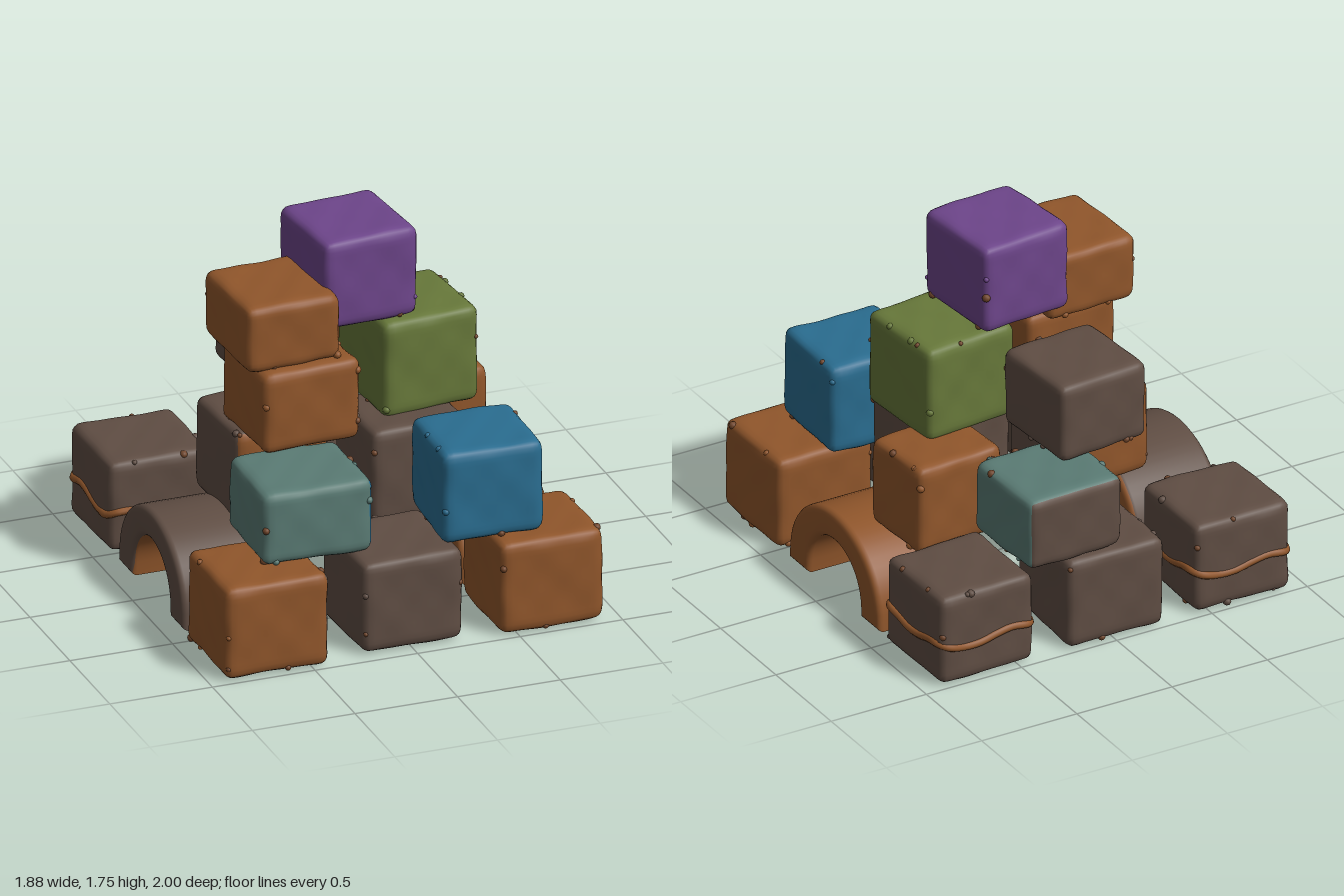
import * as THREE from 'three';
import { mergeVertices, toCreasedNormals } from 'three/addons/utils/BufferGeometryUtils.js';

const mat = (name, color) => Object.assign(new THREE.MeshStandardMaterial({ color }), { name });
const M = {
  orange: mat('burnt orange', 0x90562b),
  brown: mat('dark brown', 0x5f4d43),
  teal: mat('dusty teal', 0x5a7b74),
  blue: mat('blue', 0x2a6d90),
  green: mat('olive green', 0x67783a),
  purple: mat('purple', 0x6d458a),
  rust: mat('rust speck', 0x70452a),
};

let seed = 7;
const rnd = () => (seed = (seed * 16807) % 2147483647) / 2147483647;

// Worn block: a box with rounded edges and gentle dents
function blockGeometry(w, h, d, phase) {
  const geo = new THREE.BoxGeometry(w, h, d, 18, 18, 18);
  geo.deleteAttribute('uv');
  geo.deleteAttribute('normal');
  const merged = mergeVertices(geo, 1e-4);
  const r = 0.045;
  const half = new THREE.Vector3(w / 2 - r, h / 2 - r, d / 2 - r);
  const low = half.clone().negate();
  const p = new THREE.Vector3(), c = new THREE.Vector3();
  const pos = merged.attributes.position;
  for (let i = 0; i < pos.count; i++) {
    p.fromBufferAttribute(pos, i);
    c.copy(p).clamp(low, half);
    const dent = 0.004 * Math.sin(11 * p.x + 7 * p.y + phase) * Math.sin(9 * p.z - 8 * p.y + 2 * phase)
      + 0.002 * Math.sin(31 * p.x + phase) * Math.sin(27 * p.y + 25 * p.z);
    p.sub(c).normalize().multiplyScalar(r + dent).add(c);
    pos.setXYZ(i, p.x, p.y, p.z);
  }
  merged.computeVertexNormals();
  return merged;
}

// Wavy raised cord around a block
function cordGeometry(w, d) {
  const pts = [];
  const a = w / 2 - 0.005, b = d / 2 - 0.005, n = 6;
  const corners = [[-a, -b], [a, -b], [a, b], [-a, b]];
  corners.forEach(([x, z], k) => {
    const [x2, z2] = corners[(k + 1) % 4];
    for (let i = 0; i < n; i++) {
      const t = 0.07 + 0.86 * i / (n - 1);
      pts.push(new THREE.Vector3(x + (x2 - x) * t, -0.035 + 0.018 * Math.sin(t * 7 + k), z + (z2 - z) * t));
    }
  });
  return new THREE.TubeGeometry(new THREE.CatmullRomCurve3(pts, true), 120, 0.019, 8, true);
}

// Small crumbs stuck along the block edges
const speckGeometry = new THREE.IcosahedronGeometry(1, 1);
function addSpecks(group, w, h, d, count, materials) {
  const size = [w, h, d];
  for (let i = 0; i < count; i++) {
    const free = Math.floor(rnd() * 3);
    const at = size.map((s, k) => (k === free ? (rnd() - 0.5) * s * 0.9 : (rnd() < 0.5 ? -1 : 1) * (s / 2 - 0.016)));
    const speck = new THREE.Mesh(speckGeometry, materials[i % materials.length]);
    speck.name = 'speck';
    speck.position.set(...at);
    speck.scale.setScalar(0.011 + rnd() * 0.009);
    group.add(speck);
  }
}

// name, colour, x, z, bottom, top, width, depth, turn in degrees, other-coloured faces, cord
// face order: 0 +x, 1 -x, 2 +y, 3 -y, 4 +z, 5 -z
const BLOCKS = [
  ['frontLeftBase', 'orange', 0.665, 0.735, 0.01, 0.465, 0.505, 0.5, 0.5, {}],
  ['frontMiddleBase', 'brown', -0.005, 0.695, 0.01, 0.46, 0.495, 0.5, 2, {}],
  ['frontRightBase', 'orange', -0.675, 0.735, 0.01, 0.465, 0.505, 0.5, 0.5, { 0: 'brown', 5: 'brown', 3: 'brown' }],
  ['backLeftBase', 'brown', 0.67, -0.735, 0.01, 0.46, 0.495, 0.5, 1, {}, true],
  ['backMiddleBase', 'brown', -0.015, -0.735, 0.01, 0.46, 0.5, 0.5, -1, {}],
  ['backRightBase', 'brown', -0.675, -0.735, 0.01, 0.46, 0.5, 0.5, 0, {}, true],
  ['frontRightSecond', 'teal', -0.405, 0.57, 0.46, 0.82, 0.53, 0.49, -1, { 0: 'blue' }],
  ['frontLeftSecond', 'blue', 0.425, 0.65, 0.46, 0.91, 0.485, 0.475, -2, {}],
  ['middleLeftSecond', 'orange', 0.53, -0.28, 0.4, 0.845, 0.46, 0.41, 4, {}],
  ['middleSecond', 'brown', 0.245, 0.17, 0.365, 0.845, 0.48, 0.45, 2, { 3: 'orange' }],
  ['middleRightSecond', 'brown', -0.345, -0.06, 0.385, 0.845, 0.47, 0.47, 3, { 4: 'orange', 5: 'orange' }],
  ['backSecond', 'teal', 0.195, -0.72, 0.46, 0.82, 0.5, 0.49, 2, { 1: 'brown', 5: 'brown', 3: 'brown' }],
  ['backThird', 'brown', -0.09, -0.47, 0.82, 1.21, 0.475, 0.485, 4, { 4: 'orange' }],
  ['rightThird', 'orange', -0.29, 0.16, 0.82, 1.22, 0.485, 0.48, 3.5, {}],
  ['leftThird', 'green', 0.345, -0.005, 0.83, 1.305, 0.485, 0.5, 5, {}],
  ['rightFourth', 'orange', -0.355, 0.095, 1.21, 1.535, 0.465, 0.51, 2, {}],
  ['topBlock', 'purple', 0.055, -0.01, 1.31, 1.75, 0.475, 0.495, 5, {}],
];

// Arch block, its outline drawn in (z, y) and extruded along x
function archGeometry(width) {
  const b = 0.03, s = new THREE.Shape();
  const N = 28;
  const outer = [], inner = [];
  for (let i = 0; i <= N; i++) {
    const a = Math.PI * i / N;
    outer.push(new THREE.Vector2((0.41 - b) * Math.cos(a), b + 0.01 + (0.42 - 2 * b) * Math.sin(a) ** 0.9));
    inner.push(new THREE.Vector2(-(0.235 + b) * Math.cos(a), b + 0.01 + 0.28 * Math.sin(a) ** 0.9));
  }
  s.setFromPoints([...outer, ...inner]);
  let geo = new THREE.ExtrudeGeometry(s, {
    depth: width - 2 * b, bevelEnabled: true, bevelSize: b, bevelThickness: b, bevelSegments: 4,
  });
  geo.translate(0, 0, -(width - 2 * b) / 2);
  geo.rotateY(Math.PI / 2);
  geo = toCreasedNormals(geo, 0.7);
  return geo;
}

// Two-tone arch: the outer cap and the upper curve take the second material
function paintOuterFaces(geo) {
  const pos = geo.attributes.position, nor = geo.attributes.normal;
  geo.clearGroups();
  for (let i = 0; i < pos.count; i += 3) {
    let x = 0, y = 0, z = 0, out = 0;
    for (let k = i; k < i + 3; k++) {
      x += pos.getX(k) / 3;
      y += pos.getY(k) / 3;
      z += pos.getZ(k) / 3;
      out += nor.getY(k) * pos.getY(k) + nor.getZ(k) * pos.getZ(k);
    }
    const outside = nor.getX(i) < -0.7 || (out > 0.05 && x < 0.215 && Math.hypot(y, z) > 0.33);
    geo.addGroup(i, 3, outside ? 1 : 0);
  }
  // join neighbouring runs of the same material
  geo.groups = geo.groups.reduce((runs, g) => {
    const last = runs[runs.length - 1];
    if (last && last.materialIndex === g.materialIndex) last.count += 3;
    else runs.push({ ...g });
    return runs;
  }, []);
  return geo;
}

export function createModel() {
  seed = 7;
  const model = new THREE.Group();
  model.name = 'blockPile';

  BLOCKS.forEach(([name, color, x, z, y0, y1, w, d, turn, faces, cord], i) => {
    const h = y1 - y0;
    const block = new THREE.Group();
    block.name = name;
    const materials = [0, 1, 2, 3, 4, 5].map((f) => M[faces[f] || color]);
    const body = new THREE.Mesh(blockGeometry(w, h, d, i * 1.7), materials);
    body.name = 'body';
    block.add(body);
    if (cord) {
      const band = new THREE.Mesh(cordGeometry(w, d), M.orange);
      band.name = 'cord';
      block.add(band);
    }
    addSpecks(block, w, h, d, 8, [M[color], M.rust]);
    block.position.set(x, (y0 + y1) / 2, z);
    block.rotation.y = THREE.MathUtils.degToRad(turn);
    model.add(block);
  });

  const leftArch = new THREE.Mesh(archGeometry(0.47), M.orange);
  leftArch.name = 'leftArch';
  leftArch.position.x = 0.675;
  const rightArch = new THREE.Mesh(paintOuterFaces(archGeometry(0.47)), [M.orange, M.brown]);
  rightArch.name = 'rightArch';
  rightArch.position.x = -0.68;
  model.add(leftArch, rightArch);
  return model;
}
